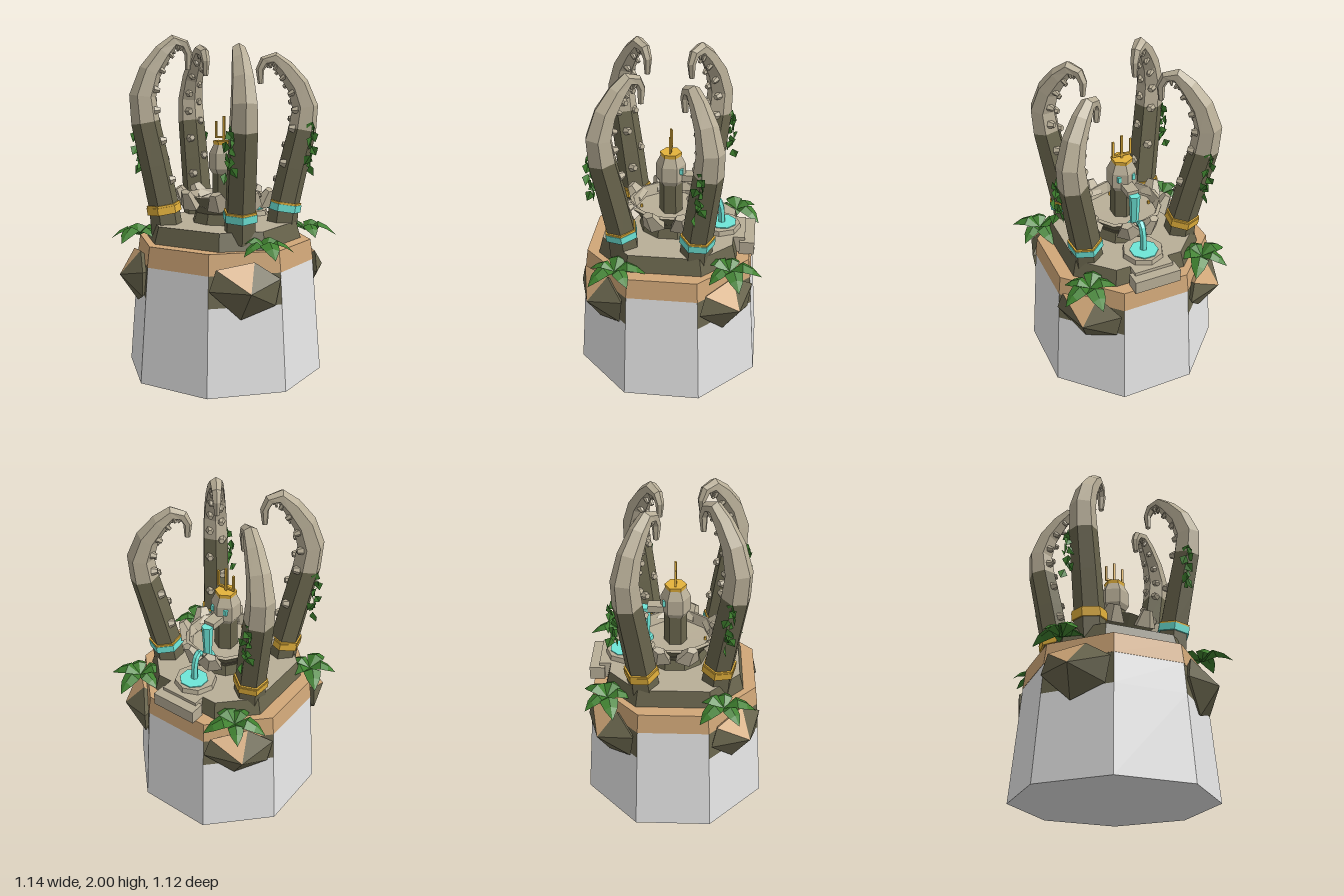
import * as THREE from 'three';
import { ConvexGeometry } from 'three/addons/geometries/ConvexGeometry.js';

const mat = (name, color, extra = {}) => {
  const m = new THREE.MeshStandardMaterial({ color, flatShading: true, ...extra });
  m.name = name;
  return m;
};

export function createModel() {
  const M = {
    white: mat('paleStone', 0xe6e6e6),
    sand: mat('sand', 0xd0a778),
    stone: mat('stone', 0xb8ae97),
    rock: mat('darkRock', 0x69654d),
    gold: mat('gold', 0xe4b23c),
    water: mat('water', 0x6ee6d8, { side: THREE.DoubleSide }),
    leaf: mat('leaf', 0x3f812f, { side: THREE.DoubleSide }),
  };
  const root = new THREE.Group();
  const add = (name, geo, m, x = 0, y = 0, z = 0, parent = root) => {
    const mesh = new THREE.Mesh(geo, m);
    mesh.name = name;
    mesh.position.set(x, y, z);
    parent.add(mesh);
    return mesh;
  };
  // Prism between two heights
  const prism = (r0, r1, y0, y1, n, start = 0, open = false) =>
    new THREE.CylinderGeometry(r1, r0, y1 - y0, n, 1, open, start).translate(0, (y0 + y1) / 2, 0);
  const lathe = (pts, n) => new THREE.LatheGeometry(pts.map(p => new THREE.Vector2(...p)), n);
  const triangles = (pts) => {
    const g = new THREE.BufferGeometry();
    g.setAttribute('position', new THREE.Float32BufferAttribute(pts.flat(), 3));
    g.computeVertexNormals();
    return g;
  };

  // Octagonal base; the corner faces turn to dark rock near the top
  const oct = Math.PI / 8, k = 1 / Math.cos(oct);
  add('baseLower', prism(0.55 * k, 0.512 * k, 0, 0.5, 8, oct), M.white);
  const upper = prism(0.512 * k, 0.498 * k, 0.5, 0.68, 8, oct, true);
  upper.clearGroups();
  for (let i = 0; i < 8; i++) upper.addGroup(i * 6, 6, i % 2 ? 0 : 1);
  add('baseUpper', upper, [M.white, M.rock]);
  add('sandBand', prism(0.5 * k, 0.485 * k, 0.68, 0.8, 8, oct), M.sand);

  // Platform with long straight sides and short corners
  const octShape = (a, b) => new THREE.Shape(
    [[b, a], [a, b], [a, -b], [b, -a], [-b, -a], [-a, -b], [-a, b], [-b, a]].map(p => new THREE.Vector2(...p)));
  const slab = new THREE.ExtrudeGeometry(octShape(0.41, 0.22), { depth: 0.1, bevelEnabled: false }).rotateX(-Math.PI / 2);
  const sp = slab.attributes.position;
  for (let i = 0; i < sp.count; i++) if (sp.getY(i) > 0.05) { sp.setX(i, sp.getX(i) * 0.94); sp.setZ(i, sp.getZ(i) * 0.94); }
  slab.computeVertexNormals();
  add('platform', slab, [M.stone, M.rock], 0, 0.8, 0);

  // Bowl on a foot, ringed with broken rocks
  add('bowlFoot', prism(0.2, 0.175, 0.88, 0.96, 10), M.rock);
  add('bowlOuter', lathe([[0.165, 0.95], [0.25, 1.065]], 10), M.rock);
  add('bowlInner', lathe([[0.25, 1.065], [0.228, 1.07], [0.21, 1.005], [0.001, 1.0]], 10), M.stone);
  for (const [x, z] of [[0.18, 0], [-0.18, 0], [0, 0.18]])
    add('stud', new THREE.BoxGeometry(0.014, 0.02, 0.014), M.gold, x, 1.012, z);
  for (const deg of [24, 70, 110, 164]) for (const s of [-1, 1]) {
    const a = s * deg * Math.PI / 180;
    const r = add('rimRock', new THREE.CylinderGeometry(0.032, 0.07, 0.1, 5).scale(1.15, 1, 0.75), M.stone,
      Math.sin(a) * 0.255, 1.055, Math.cos(a) * 0.255);
    r.rotation.set(0.5, a, s * 0.2, 'YXZ');
  }

  // Central pedestal, crown and trident
  add('pedestalLower', prism(0.07, 0.068, 0.99, 1.19, 6), M.rock);
  add('pedestalUpper', lathe([[0.001, 1.188], [0.072, 1.19], [0.09, 1.22], [0.088, 1.31], [0.058, 1.37], [0.001, 1.372]], 6), M.stone);
  add('crownBand', prism(0.062, 0.065, 1.36, 1.385, 6), M.gold);
  const bar = (w, h, x, y) => add('trident', new THREE.BoxGeometry(w, h, 0.012), M.gold, x, y, 0);
  bar(0.014, 0.15, 0, 1.455);
  bar(0.12, 0.012, 0, 1.405);
  bar(0.012, 0.1, -0.054, 1.45);
  bar(0.012, 0.1, 0.054, 1.45);
  for (const x of [-0.045, 0.045]) add('pedestalInlay', new THREE.BoxGeometry(0.02, 0.035, 0.02), M.water, x, 1.28, -0.066);

  // Steps, pool and water at the back
  add('lowerStep', new THREE.BoxGeometry(0.285, 0.08, 0.09), M.stone, 0, 0.84, -0.468);
  add('upperStep', new THREE.BoxGeometry(0.24, 0.1, 0.09), M.stone, 0, 0.85, -0.41);
  add('poolRim', prism(0.13, 0.12, 0.88, 0.93, 8), M.stone, 0, 0, -0.3);
  add('pool', prism(0.085, 0.085, 0.93, 0.936, 8, oct), M.water, 0, 0, -0.315);
  add('spout', new THREE.BoxGeometry(0.07, 0.04, 0.1), M.stone, 0, 1.23, -0.115);
  add('bowlPool', prism(0.045, 0.045, 1.0, 1.03, 6), M.water, 0, 0, -0.18);
  add('upperFall', prism(0.024, 0.034, 1.02, 1.23, 6), M.water, 0, 0, -0.18);
  const arc = [[1.08, -0.25], [1.09, -0.275], [1.04, -0.3], [0.93, -0.31]].map(([y, z]) => new THREE.Vector3(0, y, z));
  add('lowerFall', new THREE.TubeGeometry(new THREE.CatmullRomCurve3(arc), 8, 0.021, 6), M.water);

  // Tentacle stations: outward offset, height, radius
  const stations = [[-0.02, 0.84, 0.096], [0, 1, 0.09], [0.05, 1.25, 0.088], [0.103, 1.5, 0.084], [0.118, 1.65, 0.078],
    [0.072, 1.79, 0.066], [-0.005, 1.9, 0.053], [-0.07, 1.963, 0.04], [-0.13, 1.945, 0.031],
    [-0.155, 1.89, 0.025], [-0.15, 1.8, 0.016]];
  const leafShape = (len, w) => triangles([
    [0, 0, 0], [-w, -len * 0.4, 0.01], [0, -len, 0], [0, 0, 0], [0, -len, 0], [w, -len * 0.4, 0.01]]);

  function tentacle(x, z, dx, dz, H, bandMat) {
    const g = new THREE.Group();
    g.name = 'tentacle';
    g.position.set(x, 0, z);
    g.rotation.y = -Math.atan2(dz, dx);
    root.add(g);
    const P = stations.map(([s, y, r]) => ({ s, y: y > 1 ? 1 + (y - 1) * (H - 1) : y, r }));
    P.forEach((p, i) => {
      const a = P[Math.max(i - 1, 0)], b = P[Math.min(i + 1, P.length - 1)];
      const l = Math.hypot(b.s - a.s, b.y - a.y);
      p.ns = (b.y - a.y) / l;
      p.ny = -(b.s - a.s) / l;
    });
    const ring = (p, j) => {
      const c = Math.cos(j * Math.PI / 3) * p.r, d = Math.sin(j * Math.PI / 3) * p.r;
      return [p.s + c * p.ns, p.y + c * p.ny, -d];
    };
    const sweep = (from, to) => {
      const t = [];
      for (let i = from; i < to; i++) for (let j = 0; j < 6; j++) {
        const a = ring(P[i], j), b = ring(P[i], j + 1), c = ring(P[i + 1], j + 1), d = ring(P[i + 1], j);
        t.push(a, b, c, a, c, d);
      }
      const e = P[to];
      for (let j = 0; j < 6; j++) t.push([e.s, e.y, 0], ring(e, j), ring(e, j + 1));
      return triangles(t);
    };
    add('tentacleLower', sweep(0, 3), M.rock, 0, 0, 0, g);
    add('tentacleUpper', sweep(3, P.length - 1), M.stone, 0, 0, 0, g);

    // Band with gold trim
    const band = (name, r, h, y, m) => {
      const b = add(name, new THREE.CylinderGeometry(r, r, h, 6).rotateY(Math.PI / 6), m, 0.002 + (y - 1) * 0.15, y, 0, g);
      b.rotation.z = -0.15;
    };
    band('band', 0.103, 0.044, 0.985, bandMat);
    band('bandTrim', 0.1, 0.012, 1.013, M.gold);

    // Suckers in two rows on the inner side
    for (let q = 0; q < 15; q++) {
      const f = 1.6 + q * 0.46, i = Math.floor(f), u = f - i, a = P[i], b = P[i + 1];
      const m = key => a[key] + (b[key] - a[key]) * u;
      const r = m('r'), n = new THREE.Vector3(-m('ns'), -m('ny'), 0).normalize();
      const s = add('sucker', new THREE.CylinderGeometry(r * 0.2, r * 0.34, 0.036, 6), M.stone,
        m('s') + n.x * r * 0.86, m('y') + n.y * r * 0.86, (q % 2 ? 1 : -1) * r * 0.42, g);
      s.quaternion.setFromUnitVectors(new THREE.Vector3(0, 1, 0), n);
    }

    // Hanging vine on one outer flank
    for (let q = 0; q < 10; q++) {
      const v = add('vineLeaf', leafShape(0.07, 0.03), M.leaf,
        0.15 - q * 0.002, 1.5 - q * 0.028, 0.085 + (q % 2 ? 0.015 : -0.01), g);
      v.rotation.set(0.2, q * 1.3, q % 2 ? 0.5 : -0.4);
    }
  }
  tentacle(-0.258, 0.26, -1, 1, 2.0, M.gold);
  tentacle(0.268, 0.262, 0.82, 1, 1.94, M.water);
  tentacle(-0.315, -0.187, -1, -0.72, 1.96, M.gold);
  tentacle(0.315, -0.187, 1, -0.72, 1.9, M.water);

  // Ferns with arching leaves
  const rib = [[0, 0, 0.012], [0.08, 0.06, 0.058], [0.14, 0.03, 0.042], [0.2, -0.03, 0]];
  const frond = [];
  for (let i = 0; i < 3; i++) for (const s of [-1, 1]) {
    const [x0, y0, w0] = rib[i], [x1, y1, w1] = rib[i + 1];
    const a = [x0, y0, 0], b = [x1, y1, 0], c = [x1, y1 - w1 * 0.4, s * w1], d = [x0, y0 - w0 * 0.4, s * w0];
    frond.push(...(s > 0 ? [a, d, c, a, c, b] : [a, c, d, a, b, c]));
  }
  const frondGeo = triangles(frond);
  [[-0.35, -0.39], [0.37, -0.38], [-0.43, 0.29], [0.44, 0.28]].forEach(([x, z], f) => {
    for (let i = 0; i < 5; i++) {
      const l = add('fernLeaf', frondGeo, M.leaf, x, 0.82, z);
      l.rotation.y = 0.9 + f * 0.7 + i * Math.PI * 0.4 + (i % 2) * 0.15;
      l.scale.setScalar(i % 2 ? 0.8 : 0.93);
    }
  });

  // Faceted boulders on the corners, sandy where a facet faces up
  const boulderPoints = [[-0.21, 0.0, 0], [-0.17, 0.12, 0], [0.05, 0.15, -0.01], [0.2, 0.05, 0], [0.17, -0.1, 0],
    [-0.03, -0.17, 0], [0, 0.0, 0.11], [0, 0, -0.15]].map(p => new THREE.Vector3(...p));
  const boulder = new ConvexGeometry(boulderPoints);
  const nor = boulder.attributes.normal;
  for (let i = 0; i < nor.count; i += 3) boulder.addGroup(i, 3, nor.getY(i) > 0.6 ? 1 : 0);
  for (const sx of [-1, 1]) for (const sz of [-1, 1]) {
    const b = add('boulder', boulder, [M.rock, M.sand], sx * 0.372, 0.6, sz * 0.372);
    b.rotation.y = Math.atan2(sx, sz);
  }

  return root;
}
